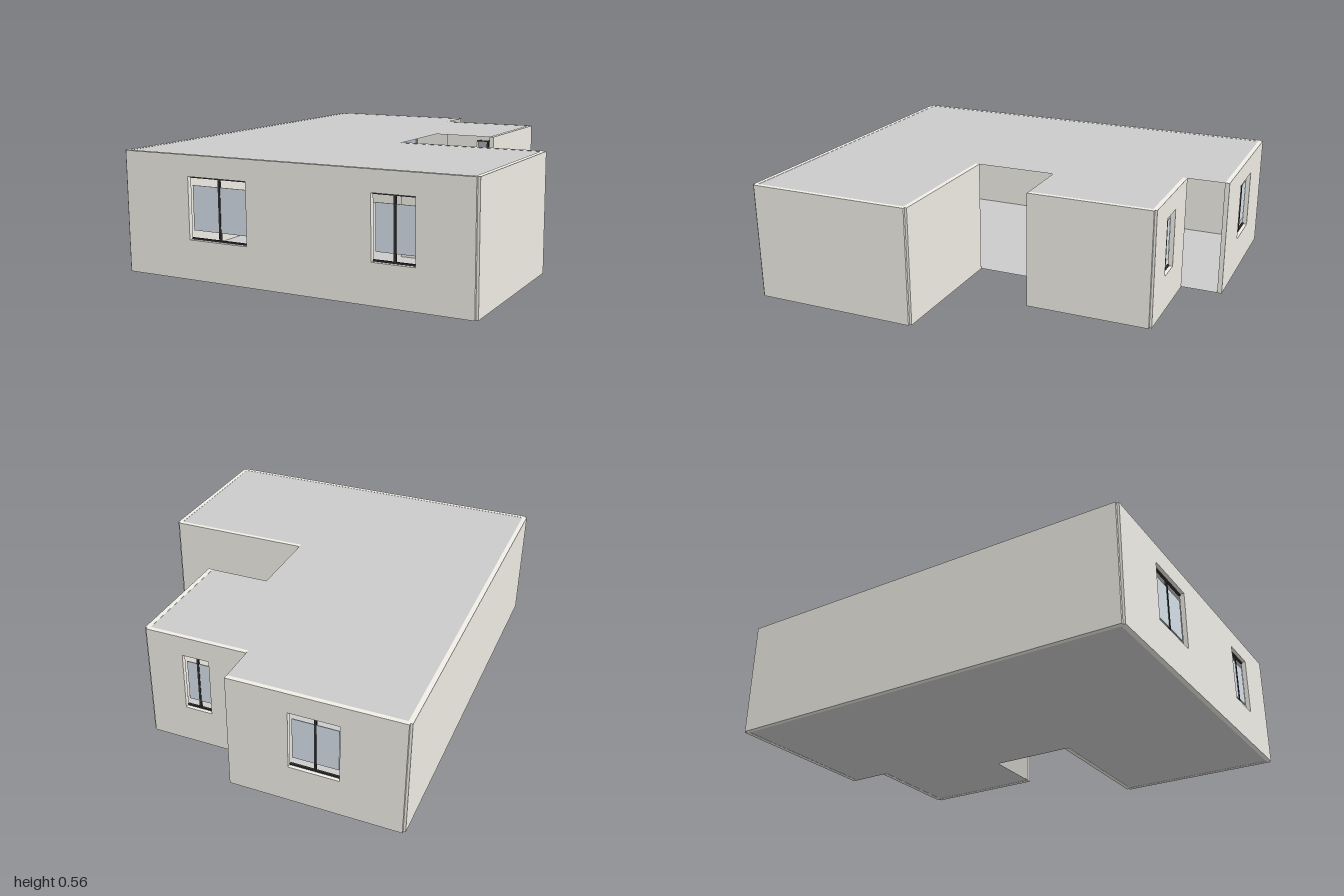
import * as THREE from 'three';

const H = 0.555;   // wall height
const T = 0.022;   // wall thickness
const SILL = 0.18, HEAD = 0.46;

const paint = (color) => new THREE.MeshStandardMaterial({ color });
const wallMat = paint(0xf0eee6);
const frameMat = paint(0x333333);
const glassMat = paint(0xd5dfe8);
const slabMat = paint(0xcccccc);
slabMat.side = THREE.DoubleSide;

// Footprint along the wall centre lines, as [x, z]
const plan = [
  [-0.84, 0.989], [0.84, 0.989], [0.84, 0.2], [0.14, 0.2], [0.14, -0.2],
  [0.44, -0.2], [0.44, -0.79], [-0.05, -0.79], [-0.05, -0.989], [-0.84, -0.989],
];

// Walls as plan indices; windows give [start, end] in x.
// The edges of the recess and the back step stay open.
const walls = [
  { name: 'frontWall', from: 0, to: 1, windows: [[-0.5, -0.2], [0.395, 0.59]] },
  { name: 'leftFrontWall', from: 1, to: 2 },
  { name: 'recessWall', from: 2, to: 3 },
  { name: 'leftBackWall', from: 5, to: 6 },
  { name: 'backStepWall', from: 6, to: 7, windows: [[0.135, 0.265]] },
  { name: 'backWall', from: 8, to: 9, windows: [[-0.56, -0.33]] },
  { name: 'rightWall', from: 9, to: 0 },
];

function rectangle(target, x0, y0, x1, y1) {
  target.moveTo(x0, y0);
  target.lineTo(x1, y0);
  target.lineTo(x1, y1);
  target.lineTo(x0, y1);
  target.closePath();
  return target;
}

function box(name, w, h, d, x, y, z, material) {
  const mesh = new THREE.Mesh(new THREE.BoxGeometry(w, h, d), material);
  mesh.name = name;
  mesh.position.set(x, y, z);
  return mesh;
}

// Window: top and bottom rails, centre mullion and a pane, set on the inner wall face
function createWindow(width) {
  const group = new THREE.Group();
  group.name = 'window';
  const z = -T / 2, mid = (SILL + HEAD) / 2;
  group.add(
    box('topRail', width, 0.007, 0.01, 0, HEAD - 0.0035, z, frameMat),
    box('bottomRail', width, 0.007, 0.01, 0, SILL + 0.0035, z, frameMat),
    box('mullion', 0.01, HEAD - SILL, 0.01, 0, mid, z, frameMat),
    box('pane', width - 0.02, 0.2, 0.004, 0, mid, z, glassMat),
  );
  return group;
}

// Wall between two plan points, its local +z facing outward
function createWall({ name, from, to, windows = [] }) {
  const [ax, az] = plan[from], [bx, bz] = plan[to];
  const length = Math.hypot(bx - ax, bz - az);
  const group = new THREE.Group();
  group.name = name;
  const outline = rectangle(new THREE.Shape(), 0, 0, length, H);
  for (const [w0, w1] of windows) {
    const spans = [Math.abs(w0 - ax), Math.abs(w1 - ax)].sort((a, b) => a - b);
    outline.holes.push(rectangle(new THREE.Path(), spans[0], SILL, spans[1], HEAD));
    const win = createWindow(w1 - w0);
    win.position.x = (spans[0] + spans[1]) / 2;
    group.add(win);
  }
  const geometry = new THREE.ExtrudeGeometry(outline, { depth: T, bevelEnabled: false });
  geometry.translate(0, 0, -T / 2);
  const panel = new THREE.Mesh(geometry, wallMat);
  panel.name = 'wallPanel';
  group.add(panel);
  group.position.set(ax, 0, az);
  group.rotation.y = Math.atan2(az - bz, bx - ax);
  return group;
}

// Thin horizontal slab following the footprint
function createSlab(name, y) {
  const shape = new THREE.Shape(plan.map(([x, z]) => new THREE.Vector2(x, -z)));
  const geometry = new THREE.ShapeGeometry(shape);
  geometry.rotateX(-Math.PI / 2);
  const mesh = new THREE.Mesh(geometry, slabMat);
  mesh.name = name;
  mesh.position.y = y;
  return mesh;
}

export function createModel() {
  const house = new THREE.Group();
  house.name = 'house';
  for (const wall of walls) house.add(createWall(wall));
  house.add(createSlab('floor', 0.001), createSlab('roof', H - 0.001));
  return house;
}
